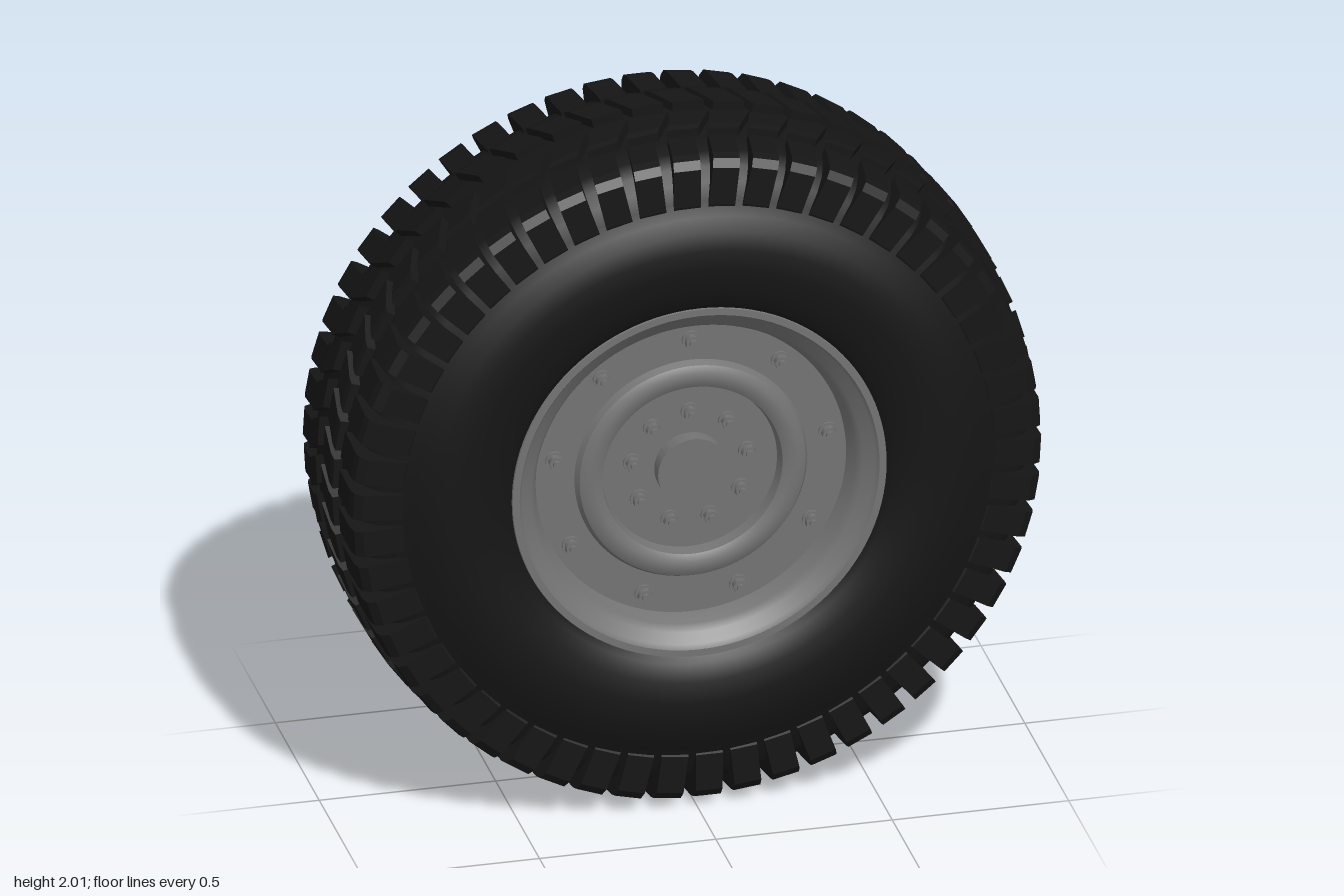
import * as THREE from 'three';
import { mergeGeometries, toCreasedNormals } from 'three/addons/utils/BufferGeometryUtils.js';

const rubber = new THREE.MeshStandardMaterial({ color: 0x151515 });
const steel = new THREE.MeshStandardMaterial({ color: 0x737373 });

const LUGS = 54;

// Revolve a [radius, z] profile around the z axis
function revolve(profile, crease) {
  const geo = new THREE.LatheGeometry(profile.map(([r, z]) => new THREE.Vector2(r, z)), 108);
  geo.rotateX(Math.PI / 2);
  return toCreasedNormals(geo, crease);
}

// One tread block: a [z, radius] section, extruded along the circumference and slanted
function treadBlock(section, side, width, slant, shift) {
  const shape = new THREE.Shape(section.map(([z, r]) => new THREE.Vector2(z * side, r)));
  const geo = new THREE.ExtrudeGeometry(shape, { depth: width, bevelEnabled: false });
  geo.translate(0, 0, -width / 2);
  geo.rotateY(-Math.PI / 2);
  const p = geo.attributes.position;
  for (let i = 0; i < p.count; i++) {
    p.setX(i, p.getX(i) - shift - slant * Math.abs(p.getZ(i)));
  }
  geo.computeVertexNormals();
  return geo;
}

// Repeat a geometry around the z axis
function ring(geo, count) {
  const copies = [];
  for (let i = 0; i < count; i++) copies.push(geo.clone().rotateZ((i / count) * Math.PI * 2));
  return mergeGeometries(copies);
}

// Hexagonal nut with washer and stud, facing +z
function nut() {
  const layer = (radius, height, z, sides) =>
    new THREE.CylinderGeometry(radius, radius, height, sides).rotateX(Math.PI / 2).translate(0, 0, z);
  return mergeGeometries([
    layer(0.026, 0.008, 0.004, 16),
    layer(0.021, 0.022, 0.017, 6),
    layer(0.011, 0.012, 0.032, 10),
  ]);
}

export function createModel() {
  const model = new THREE.Group();
  const wheel = new THREE.Group();
  wheel.name = 'wheel';
  wheel.position.y = 1;
  model.add(wheel);

  const add = (name, geo, material) => {
    const mesh = new THREE.Mesh(geo, material);
    mesh.name = name;
    wheel.add(mesh);
  };

  // Tyre carcass: half profile from bead to tread centre, mirrored
  const half = [
    [0.5, 0.26], [0.525, 0.305], [0.55, 0.322], [0.6, 0.338], [0.66, 0.345], [0.72, 0.344],
    [0.77, 0.331], [0.81, 0.312], [0.85, 0.293], [0.9, 0.278], [0.935, 0.25], [0.958, 0.2], [0.97, 0.14],
  ];
  const back = half.map(([r, z]) => [r, -z]);
  add('tyre', revolve([...back, [0.973, 0], ...half.slice().reverse()], 0.7), rubber);

  // Tread: slanted centre blocks and shoulder lugs on both sides
  const centreSection = [[0.03, 0.95], [0.03, 0.999], [0.11, 0.999], [0.13, 0.994], [0.13, 0.94]];
  const shoulderSection = [
    [0.155, 0.93], [0.155, 0.984], [0.26, 0.98], [0.285, 0.973], [0.3, 0.95],
    [0.302, 0.84], [0.295, 0.82], [0.24, 0.85],
  ];
  for (const [side, label] of [[1, 'front'], [-1, 'back']]) {
    add(label + 'CentreTread', ring(treadBlock(centreSection, side, 0.088, 0.55, -0.07), LUGS), rubber);
    add(label + 'ShoulderLugs', ring(treadBlock(shoulderSection, side, 0.076, 0.12, -0.005), LUGS), rubber);
  }

  // Rim and disc in one closed profile, from back hub outward and round to front hub
  const rim = [
    [0, -0.2], [0.1, -0.2], [0.1, -0.125], [0.24, -0.125], [0.25, -0.145], [0.27, -0.155],
    [0.3, -0.15], [0.325, -0.12], [0.43, -0.12], [0.455, -0.17], [0.48, -0.27], [0.5, -0.3],
    [0.51, -0.315], [0.53, -0.315], [0.535, -0.295], [0.49, -0.25], [0.49, 0.25], [0.535, 0.295],
    [0.53, 0.315], [0.51, 0.315], [0.5, 0.3], [0.47, 0.285], [0.455, 0.26], [0.44, 0.215],
    [0.33, 0.215], [0.32, 0.235], [0.3, 0.246], [0.275, 0.246], [0.255, 0.235], [0.248, 0.2],
    [0.1, 0.2], [0.1, 0.245], [0, 0.245],
  ];
  add('rim', revolve(rim, 0.6), steel);

  // Two rings of nine nuts
  add('outerNuts', ring(nut().translate(0, 0.393, 0.215), 9), steel);
  add('innerNuts', ring(nut().translate(0, 0.166, 0.2), 9), steel);

  return model;
}
